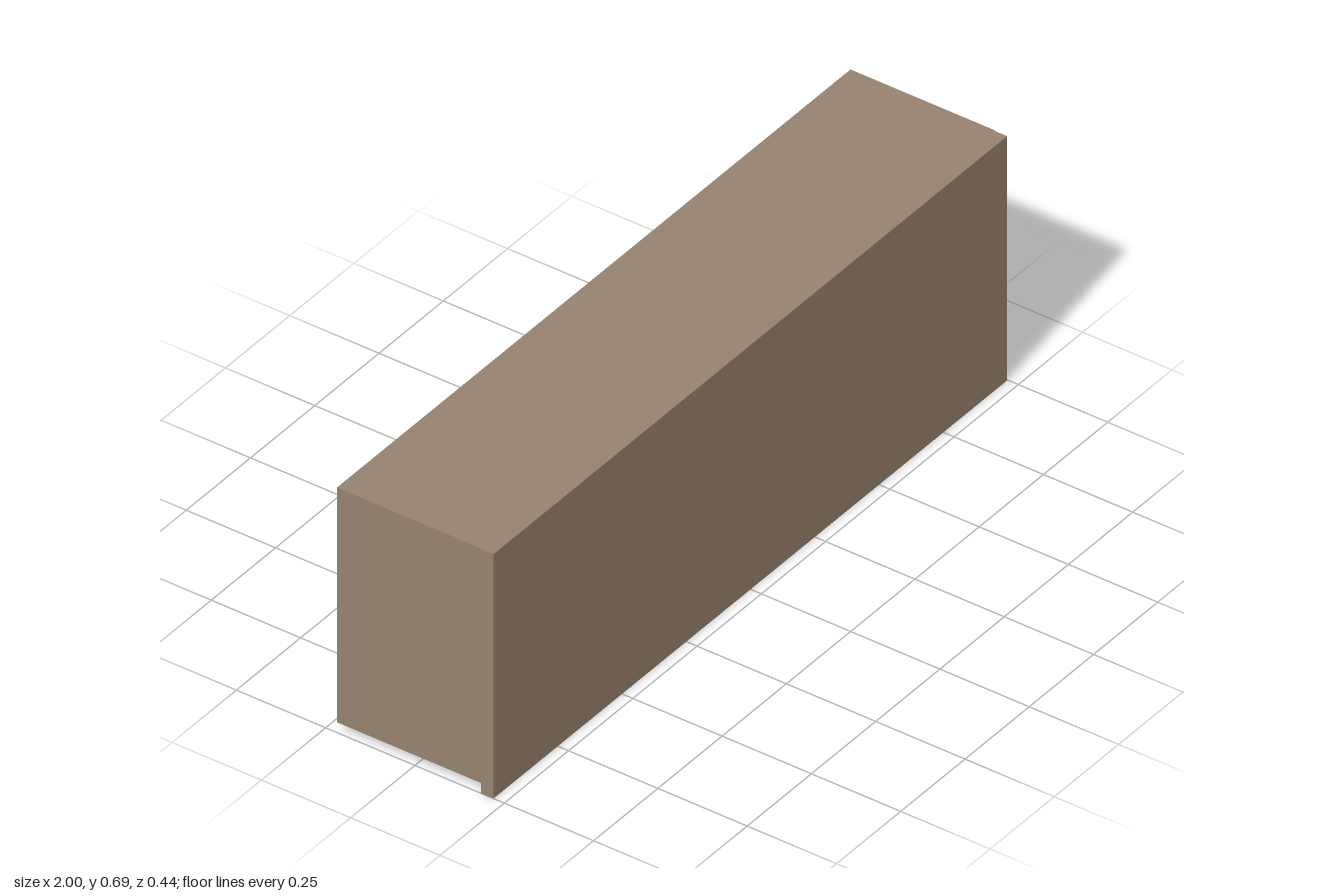
import * as THREE from 'three';

// Low cabinet: open at the back, three bays, closed by one front panel with a lower lip.
export function createModel() {
  const group = new THREE.Group();
  group.name = 'cabinet';
  const wood = new THREE.MeshStandardMaterial({ color: 0x96826f });
  wood.name = 'brown wood';

  // Board given by its min and max corners
  function board(name, [x0, y0, z0], [x1, y1, z1]) {
    const mesh = new THREE.Mesh(new THREE.BoxGeometry(x1 - x0, y1 - y0, z1 - z0), wood);
    mesh.position.set((x0 + x1) / 2, (y0 + y1) / 2, (z0 + z1) / 2);
    mesh.name = name;
    group.add(mesh);
  }

  const bottom = 0.027, top = 0.685, back = -0.22, front = 0.22;
  const t = 0.035, shelf = 0.033;
  const panelBack = front - t;

  // Front panel, reaching the floor
  board('frontPanel', [-1, 0, panelBack], [0.998, top, front]);

  // Top and bottom boards
  board('topBoard', [-0.998, top - shelf, back], [1, top, panelBack]);
  board('bottomBoard', [-0.998, bottom, back], [1, bottom + shelf, panelBack]);

  // Two ends and two dividers, evenly spaced
  const names = ['rightEnd', 'rightDivider', 'leftDivider', 'leftEnd'];
  names.forEach((name, i) => {
    const x = -0.998 + (i * (1.998 - t)) / 3;
    board(name, [x, bottom + shelf, back], [x + t, top - shelf, panelBack]);
  });

  return group;
}
